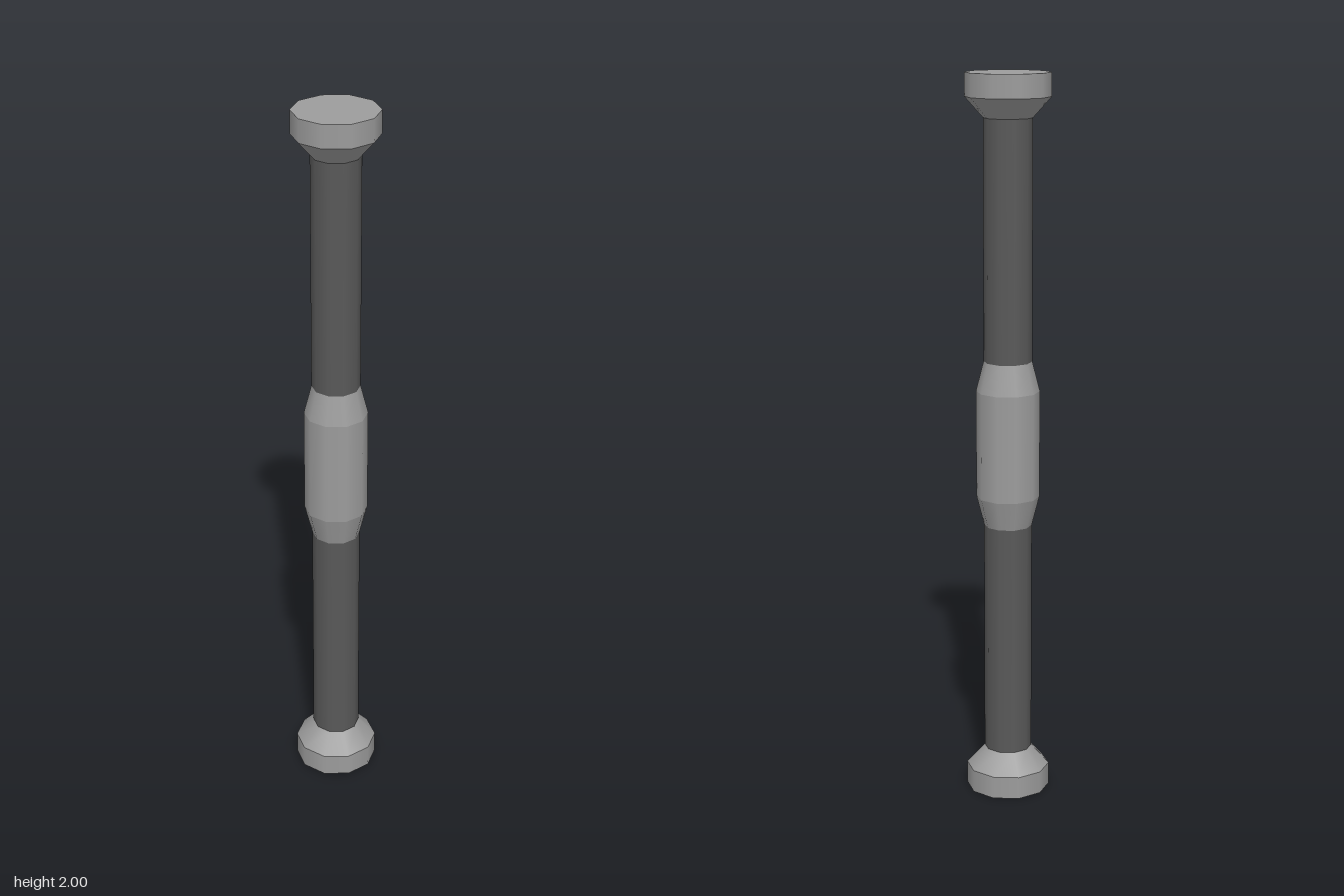
import * as THREE from 'three';

const SIDES = 10;
const SHAFT = 0.066, GRIP = 0.087, CAP = 0.1155;

export function createModel() {
  const group = new THREE.Group();
  const light = new THREE.MeshStandardMaterial({ color: 0x9c9c9c });
  const dark = new THREE.MeshStandardMaterial({ color: 0x595959 });

  // Ten-sided section from y0 to y1, corners on the x axis, smooth around the side
  function section(parent, name, r0, r1, y0, y1, material, open = true) {
    const geo = new THREE.CylinderGeometry(r1, r0, y1 - y0, SIDES, 1, open, Math.PI / 2);
    const mesh = new THREE.Mesh(geo, material);
    mesh.name = name;
    mesh.position.y = (y0 + y1) / 2;
    parent.add(mesh);
  }

  // Shaft halves, above and below the grip
  section(group, 'lowerShaft', SHAFT, SHAFT, 0.118, 0.77, dark);
  section(group, 'upperShaft', SHAFT, SHAFT, 1.23, 1.882, dark);

  // Thicker grip with tapered ends
  const grip = new THREE.Group();
  grip.name = 'grip';
  section(grip, 'gripLowerTaper', SHAFT, GRIP, 0.77, 0.852, light);
  section(grip, 'gripBody', GRIP, GRIP, 0.852, 1.148, light);
  section(grip, 'gripUpperTaper', GRIP, SHAFT, 1.148, 1.23, light);
  group.add(grip);

  // Flared caps on both ends
  const bottom = new THREE.Group();
  bottom.name = 'bottomCap';
  section(bottom, 'bottomRim', CAP, CAP, 0, 0.063, light, false);
  section(bottom, 'bottomFlare', CAP, SHAFT, 0.063, 0.118, light);
  group.add(bottom);

  const top = new THREE.Group();
  top.name = 'topCap';
  section(top, 'topFlare', SHAFT, CAP, 1.882, 1.937, light);
  section(top, 'topRim', CAP, CAP, 1.937, 2, light, false);
  group.add(top);

  return group;
}
